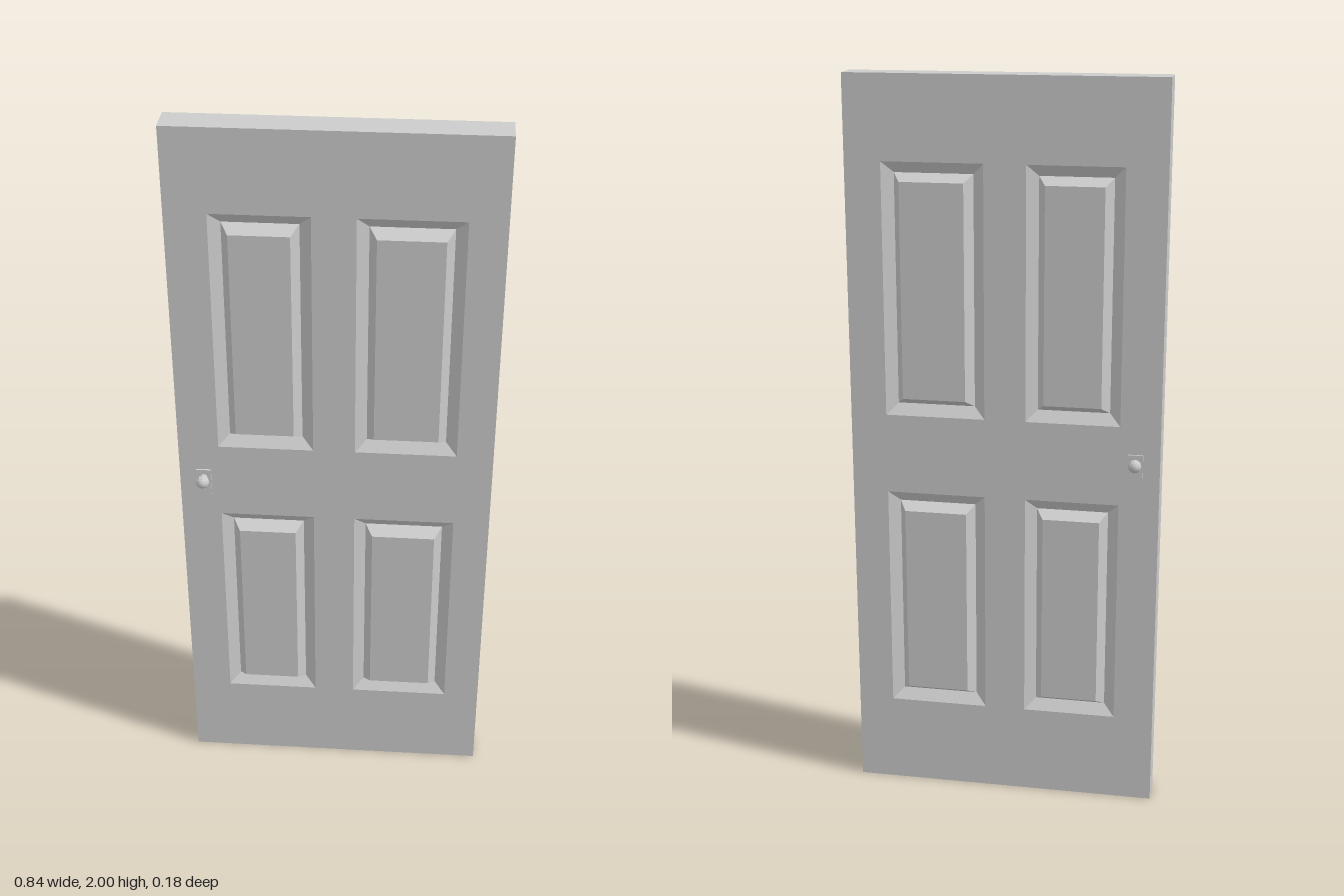
import * as THREE from 'three';

const HALF_W = 0.42, HEIGHT = 2, FRONT = 0.043, BACK = -0.041;

// Panel openings: [centre x, half width] by [centre y, half height]
const COLUMNS = [[-0.185, 0.127], [0.188, 0.135]];
const ROWS = [[0.563, 0.315], [1.438, 0.34]];

// Steps of a panel: inset from the opening and z relative to the door face
const PANEL_STEPS = [[0, 0], [0.03, -0.022], [0.05, 0.011]];

const KNOB_X = -0.355, KNOB_Y = 1;

const material = new THREE.MeshStandardMaterial({ color: 0xcccccc, flatShading: true });

function addMesh(parent, name, geometry, x = 0, y = 0, z = 0) {
  const mesh = new THREE.Mesh(geometry, material);
  mesh.name = name;
  mesh.position.set(x, y, z);
  parent.add(mesh);
  return mesh;
}

// Skin over rectangular rings [halfW, halfH, z], optionally capped at the last ring
function rectLoft(rings, cap) {
  const positions = [], index = [];
  for (const [w, h, z] of rings) {
    positions.push(-w, -h, z, w, -h, z, w, h, z, -w, h, z);
  }
  for (let r = 0; r < rings.length - 1; r++) {
    for (let i = 0; i < 4; i++) {
      const a = r * 4 + i, b = r * 4 + (i + 1) % 4;
      index.push(a, b, b + 4, a, b + 4, a + 4);
    }
  }
  if (cap) {
    const n = (rings.length - 1) * 4;
    index.push(n, n + 1, n + 2, n, n + 2, n + 3);
  }
  const geometry = new THREE.BufferGeometry();
  geometry.setAttribute('position', new THREE.Float32BufferAttribute(positions, 3));
  geometry.setIndex(index);
  const flat = geometry.toNonIndexed();
  flat.computeVertexNormals();
  return flat;
}

function rectPath(path, cx, cy, w, h) {
  path.moveTo(cx - w, cy - h);
  path.lineTo(cx + w, cy - h);
  path.lineTo(cx + w, cy + h);
  path.lineTo(cx - w, cy + h);
  path.closePath();
  return path;
}

// One face of the door at local z = 0; s mirrors the layout for the back
function doorSide(name, s) {
  const side = new THREE.Group();
  side.name = name;

  // Flat frame with four openings
  const shape = rectPath(new THREE.Shape(), 0, HEIGHT / 2, HALF_W, HEIGHT / 2);
  for (const [cx, w] of COLUMNS) {
    for (const [cy, h] of ROWS) {
      shape.holes.push(rectPath(new THREE.Path(), cx * s, cy, w, h));
      // Sloped recess with a raised field
      const rings = PANEL_STEPS.map(([inset, z]) => [w - inset, h - inset, z]);
      addMesh(side, 'raisedPanel', rectLoft(rings, true), cx * s, cy, 0);
    }
  }
  addMesh(side, 'frameFace', new THREE.ShapeGeometry(shape));

  // Knob with backplate and neck
  const knob = new THREE.Group();
  knob.name = 'knob';
  knob.position.set(KNOB_X * s, KNOB_Y, 0);
  addMesh(knob, 'backplate', new THREE.BoxGeometry(0.04, 0.08, 0.005), 0, -0.017, 0.0025);
  const neck = new THREE.CylinderGeometry(0.01, 0.01, 0.016, 12).rotateX(Math.PI / 2);
  addMesh(knob, 'knobNeck', neck, 0, 0, 0.011);
  const ball = new THREE.SphereGeometry(0.018, 12, 8).rotateX(Math.PI / 2);
  addMesh(knob, 'knobBall', ball, 0, 0, 0.028);
  side.add(knob);
  return side;
}

export function createModel() {
  const door = new THREE.Group();
  door.name = 'door';

  // Outer edges of the slab
  const edges = rectLoft([[HALF_W, HEIGHT / 2, BACK], [HALF_W, HEIGHT / 2, FRONT]], false);
  addMesh(door, 'slabEdges', edges, 0, HEIGHT / 2, 0);

  const front = doorSide('frontSide', 1);
  front.position.z = FRONT;
  const back = doorSide('backSide', -1);
  back.rotation.y = Math.PI;
  back.position.z = BACK;
  door.add(front, back);
  return door;
}
